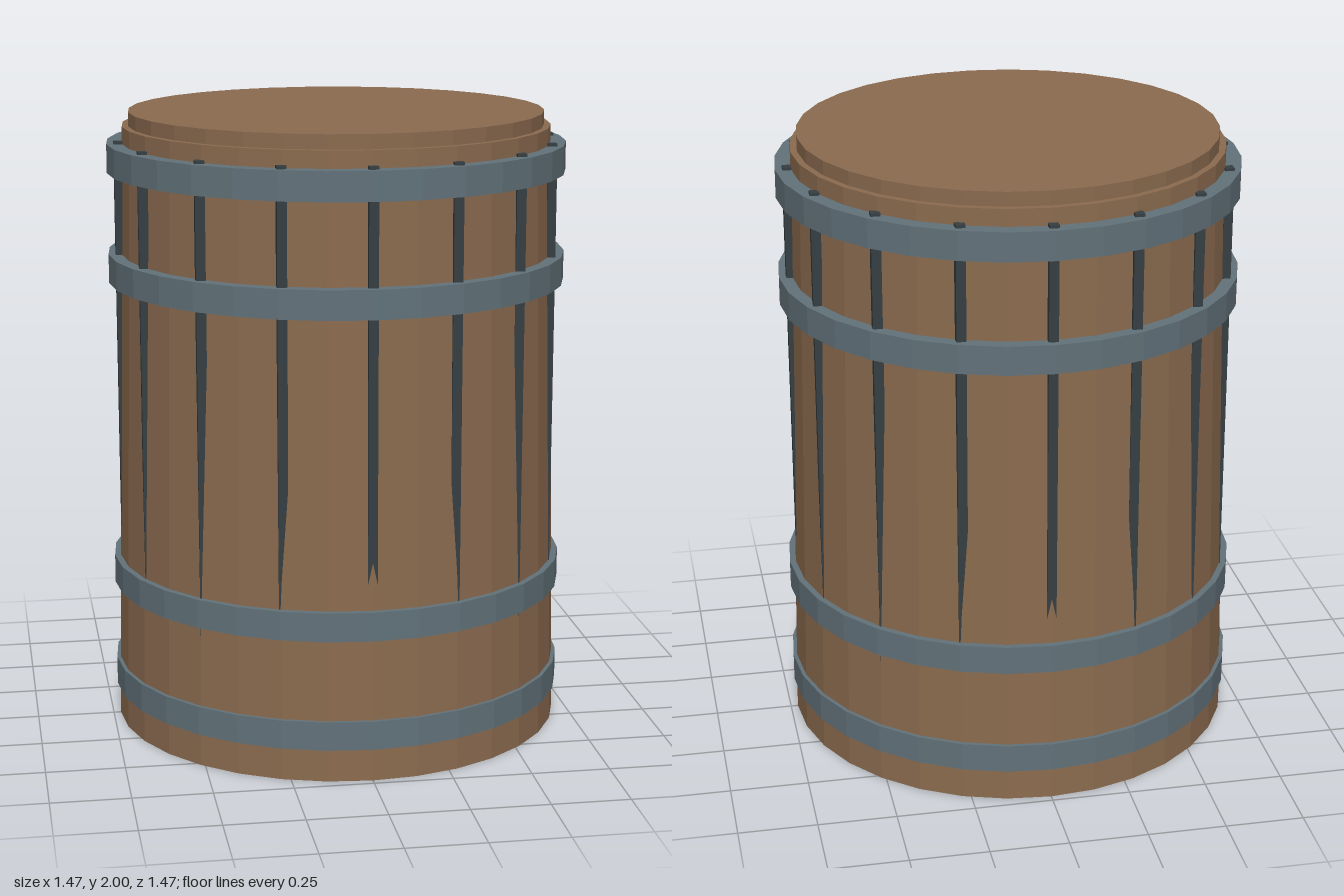
import * as THREE from 'three';

const SIDES = 32;
const paint = (color) => new THREE.MeshStandardMaterial({ color, flatShading: true });

export function createModel() {
  const barrel = new THREE.Group();
  barrel.name = 'barrel';
  const wood = paint(0x8b6b4f);
  const iron = paint(0x62727a);
  const darkIron = paint(0x363f42);

  const add = (name, geometry, material, x, y, z) => {
    const mesh = new THREE.Mesh(geometry, material);
    mesh.name = name;
    mesh.position.set(x, y, z);
    barrel.add(mesh);
  };

  // Tapered wooden body and the slightly smaller lid
  add('body', new THREE.CylinderGeometry(0.685, 0.727, 1.955, SIDES), wood, 0, 0.9775, 0);
  add('lid', new THREE.CylinderGeometry(0.664, 0.664, 0.06, SIDES), wood, 0, 1.97, 0);

  // Four hoops, each a closed ring section turned around the axis
  const ring = [[0.66, -0.046], [0.735, -0.046], [0.735, 0.046], [0.66, 0.046], [0.66, -0.046]]
    .map(([r, y]) => new THREE.Vector2(r, y));
  const hoop = new THREE.LatheGeometry(ring, SIDES);
  for (const y of [0.15, 0.502, 1.502, 1.855]) add('hoop', hoop, iron, 0, y, 0);

  // Upright square bars that sink into the widening body towards the bottom
  const bar = new THREE.BoxGeometry(0.03, 1.81, 0.03);
  for (let i = 0; i < 16; i++) {
    const a = (i / 16) * Math.PI * 2;
    add('uprightBar', bar, darkIron, 0.697 * Math.sin(a), 1.005, 0.697 * Math.cos(a));
  }
  return barrel;
}
